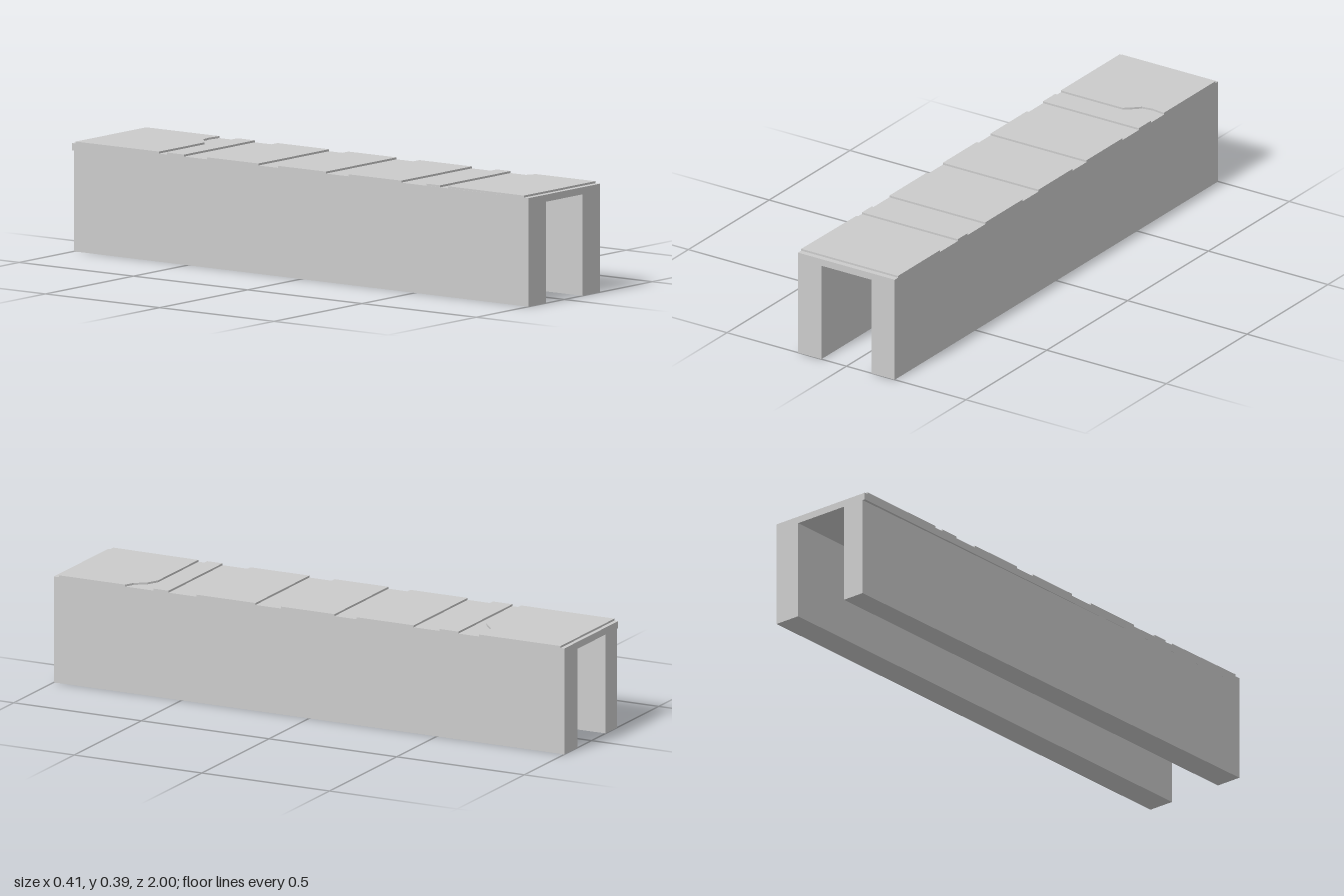
import * as THREE from 'three';

const material = new THREE.MeshStandardMaterial({ color: 0xcccccc, flatShading: true });

// Vertical prism from a plan outline of [x, z] points, between two heights
function slab(name, outline, y0, y1) {
  const shape = new THREE.Shape(outline.map(([x, z]) => new THREE.Vector2(x, -z)));
  const geometry = new THREE.ExtrudeGeometry(shape, { depth: y1 - y0, bevelEnabled: false });
  geometry.rotateX(-Math.PI / 2).translate(0, y0, 0);
  const mesh = new THREE.Mesh(geometry, material);
  mesh.name = name;
  return mesh;
}

export function createModel() {
  const group = new THREE.Group();
  group.name = 'channelWall';
  const soffit = 0.356, deck = 0.381, top = 0.388;
  const L = 0.202, R = -0.199;

  // Two long walls; the right one narrows towards the back
  group.add(slab('leftWall', [[0.104, 1], [L, 1], [L, -1], [0.104, -1]], 0, soffit));
  group.add(slab('rightWall', [[-0.203, 1], [-0.105, 1], [-0.105, -1], [-0.189, -1]], 0, soffit));

  // Roof plate bridging the walls
  group.add(slab('roof', [[-0.203, 1], [L, 1], [L, -1], [R, -1], [R, 0.4]], soffit, deck));

  // Thin raised paving strips with grooves between them
  const strips = [[0.61, 0.55], [0.44, 0.21], [0.11, -0.1], [-0.185, -0.41], [-0.51, -0.585]];
  for (const [z0, z1] of strips) {
    group.add(slab('pavingStrip', [[R, z0], [L, z0], [L, z1], [R, z1]], deck, top));
  }

  // End slabs, each with a worn corner on the left side
  group.add(slab('frontSlab', [
    [-0.203, 0.98], [L, 0.98], [L, 0.72], [0.17, 0.705], [0.14, 0.665], [0.1, 0.645], [R, 0.645],
  ], deck, top));
  group.add(slab('backSlab', [
    [R, -0.62], [0.06, -0.62], [0.08, -0.635], [0.11, -0.665], [0.15, -0.672], [L, -0.665], [L, -0.985], [R, -0.985],
  ], deck, top));

  return group;
}
